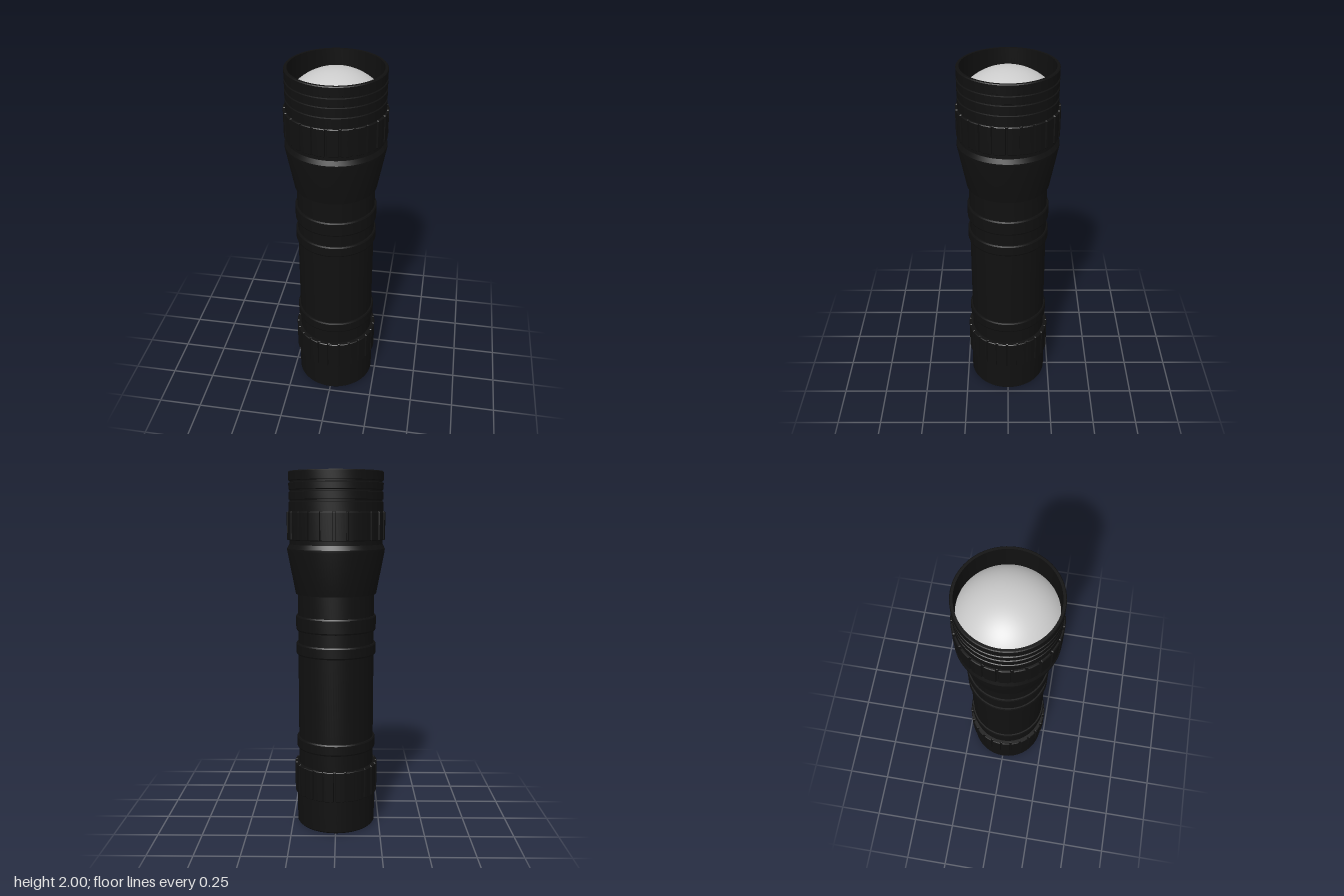
import * as THREE from 'three';
import { toCreasedNormals } from 'three/addons/utils/BufferGeometryUtils.js';

const black = new THREE.MeshStandardMaterial({ color: 0x101010 });
const glass = new THREE.MeshStandardMaterial({ color: 0xcccccc });

function addMesh(group, name, geometry, material = black) {
  const mesh = new THREE.Mesh(geometry, material);
  mesh.name = name;
  group.add(mesh);
  return mesh;
}

// Turned part from [radius, height] pairs, running up the outside
function turned(profile) {
  const points = profile.map(([r, y]) => new THREE.Vector2(r, y));
  return toCreasedNormals(new THREE.LatheGeometry(points, 96), 0.4);
}

// Raised band with chamfered edges, as profile points
function band(inner, outer, y0, y1, c = 0.008) {
  return [[inner, y0], [outer - c / 2, y0], [outer, y0 + c], [outer, y1 - c], [outer - c / 2, y1], [inner, y1]];
}

// Grip ring with shallow vertical grooves
function grip(radius, y0, y1, ribs = 24) {
  const shape = new THREE.Shape();
  const step = (Math.PI * 2) / ribs;
  const bevel = 0.004;
  const put = (r, a) => {
    const x = r * Math.cos(a), y = r * Math.sin(a);
    if (shape.curves.length || shape.started) shape.lineTo(x, y);
    else { shape.moveTo(x, y); shape.started = true; }
  };
  for (let i = 0; i < ribs; i++) {
    const a = i * step;
    for (let k = 0; k <= 4; k++) put(radius, a + step * 0.8 * (k / 4));
    put(radius - 0.009, a + step * 0.84);
    put(radius - 0.009, a + step * 0.96);
  }
  shape.closePath();
  const geometry = new THREE.ExtrudeGeometry(shape, {
    depth: y1 - y0 - 2 * bevel, bevelEnabled: true, bevelSize: bevel,
    bevelThickness: bevel, bevelOffset: -bevel, bevelSegments: 1,
  });
  geometry.rotateX(-Math.PI / 2).translate(0, y0 + bevel, 0);
  return toCreasedNormals(geometry, 0.4);
}

export function createModel() {
  const group = new THREE.Group();
  group.name = 'flashlight';

  // Tail
  addMesh(group, 'tailCap', turned([
    [0, 0], [0.217, 0], [0.224, 0.008], [0.224, 0.2], [0, 0.2],
  ]));
  addMesh(group, 'tailGrip', grip(0.237, 0.19, 0.365));

  // Barrel with three raised bands
  const r = 0.213;
  addMesh(group, 'barrel', turned([
    [r, 0.35],
    ...band(r, 0.224, 0.455, 0.52),
    ...band(r, 0.224, 1.0, 1.065),
    ...band(r, 0.224, 1.135, 1.22),
    [r, 1.35],
  ]));

  // Flared head
  addMesh(group, 'head', turned([
    [0.2, 1.34], [0.224, 1.34], [0.269, 1.575], [0.269, 1.588],
    [0.257, 1.612], [0.257, 1.65],
  ]));
  addMesh(group, 'headGrip', grip(0.27, 1.635, 1.787));

  // Bezel with ring grooves, open at the top
  const outer = 0.259;
  const profile = [[outer, 1.77]];
  for (const y of [1.845, 1.897, 1.945]) {
    profile.push([outer, y - 0.007], [outer - 0.006, y - 0.004], [outer - 0.006, y + 0.004], [outer, y + 0.007]);
  }
  profile.push([outer, 1.996], [outer - 0.004, 2], [0.243, 2], [0.243, 1.78]);
  addMesh(group, 'bezel', turned(profile));

  // Domed lens, a cap of a larger sphere
  const lensRadius = 0.296;
  const lens = new THREE.SphereGeometry(lensRadius, 96, 24, 0, Math.PI * 2, 0, Math.asin(0.243 / lensRadius));
  addMesh(group, 'lens', lens, glass).position.y = 1.985 - lensRadius;

  return group;
}
